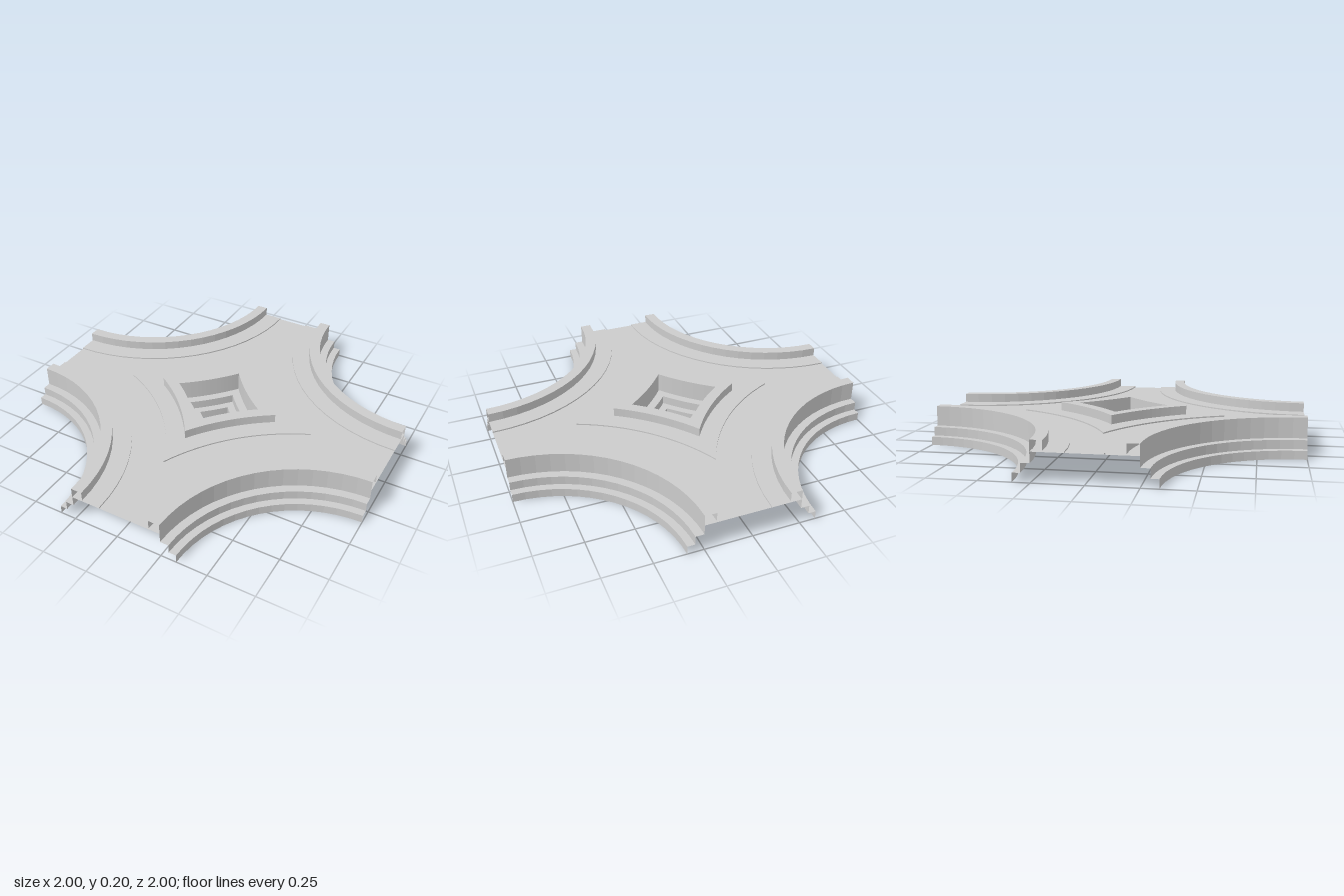
import * as THREE from 'three';

const SEGMENTS = 16;

// Point on an arc of radius r about the corner (1, 1), kept inside one quadrant
function arcPoint(r, y, t) {
  const a0 = r > 1 ? Math.acos(1 / r) : 0;
  const a = a0 + (Math.PI / 2 - 2 * a0) * t;
  return [1 - r * Math.cos(a), y, 1 - r * Math.sin(a)];
}

// Sweep a profile of [radius, height] points along the corner arc
function sweep(profile) {
  const pos = [];
  for (let j = 0; j < profile.length - 1; j++) {
    const [r0, y0] = profile[j], [r1, y1] = profile[j + 1];
    for (let i = 0; i < SEGMENTS; i++) {
      const t0 = i / SEGMENTS, t1 = (i + 1) / SEGMENTS;
      const a = arcPoint(r0, y0, t0), b = arcPoint(r0, y0, t1);
      const c = arcPoint(r1, y1, t1), d = arcPoint(r1, y1, t0);
      pos.push(...a, ...b, ...c, ...a, ...c, ...d);
    }
  }
  const geo = new THREE.BufferGeometry();
  geo.setAttribute('position', new THREE.Float32BufferAttribute(pos, 3));
  geo.computeVertexNormals();
  return geo;
}

// The cross-section is mirrored about r = 1, the middle of the road
const mirror = (profile) => profile.map(([r, y]) => [2 - r, y]).reverse();

export function createModel() {
  const model = new THREE.Group();
  model.name = 'crossroadDeck';
  const concrete = new THREE.MeshStandardMaterial({ color: 0xcccccc, side: THREE.DoubleSide });
  concrete.name = 'concrete';

  const ROAD = 0.145, SHOULDER = 0.152, TOP = 0.2;

  // Stepped base, parapet and road shoulder, from the outside inwards
  const steps = [[0.665, 0], [0.665, 0.045], [0.705, 0.045], [0.705, 0.092], [0.75, 0.092]];
  const parapet = [[0.75, 0.092], [0.75, TOP], [0.81, TOP], [0.81, SHOULDER]];
  const shoulder = [[0.81, SHOULDER], [0.91, SHOULDER], [0.91, ROAD]];
  const road = [[0.75, ROAD], [1, ROAD], [1.25, ROAD]];

  const parts = {
    outerSteps: steps,
    outerParapet: parapet,
    outerShoulder: shoulder,
    roadDeck: road,
    innerShoulder: mirror(shoulder),
    wellParapet: mirror(parapet),
    wellSteps: mirror(steps),
  };

  // Each part repeats in the four quadrants
  for (const [name, profile] of Object.entries(parts)) {
    const geo = sweep(profile);
    const ring = new THREE.Group();
    ring.name = name;
    for (let q = 0; q < 4; q++) {
      const mesh = new THREE.Mesh(geo, concrete);
      mesh.name = `${name}Quarter`;
      mesh.rotation.y = q * Math.PI / 2;
      ring.add(mesh);
    }
    model.add(ring);
  }
  return model;
}
